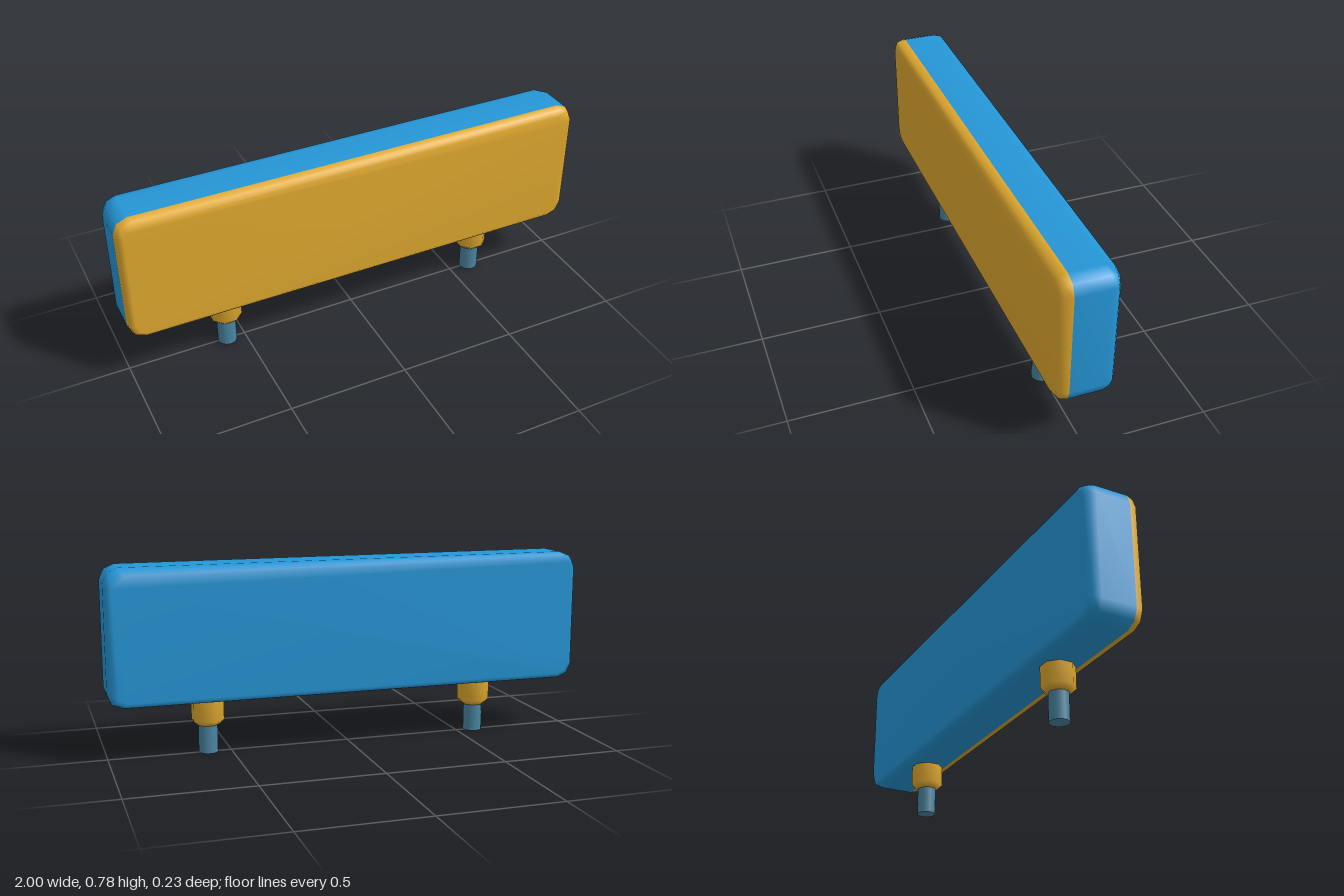
import * as THREE from 'three';

const gold = new THREE.MeshStandardMaterial({ color: 0xe0a92f });
gold.name = 'gold';
const blue = new THREE.MeshStandardMaterial({ color: 0x2596d6 });
blue.name = 'blue';
const steel = new THREE.MeshStandardMaterial({ color: 0x4a85a0 });
steel.name = 'steel blue';

// Rounded rectangle ring: three points per corner, counter-clockwise from the front
function ring(z, inset) {
  const r = 0.062 - inset * 0.5, w = 1 - inset, h = 0.277 - inset;
  const pts = [];
  for (let c = 0; c < 4; c++) {
    const sx = c === 0 || c === 3 ? 1 : -1, sy = c < 2 ? 1 : -1;
    for (let k = 0; k < 3; k++) {
      const a = (c + k / 2) * Math.PI / 2;
      pts.push(sx * (w - r) + r * Math.cos(a), 0.499 + sy * (h - r) + r * Math.sin(a), z);
    }
  }
  return pts;
}

// Smooth panel lofted from back to front, gold from the seam forwards
function panelGeometry() {
  const rings = [[-0.114, 0.028], [-0.1, 0.008], [-0.07, 0], [0.07, 0], [0.1, 0.008], [0.114, 0.028]];
  const n = 12, pos = rings.flatMap(([z, inset]) => ring(z, inset));
  const caps = [[], []], sides = [];
  for (let k = 1; k < n - 1; k++) {
    const f = (rings.length - 1) * n;
    caps[0].push(0, k + 1, k);
    caps[1].push(f, f + k, f + k + 1);
  }
  for (let i = 0; i < rings.length - 1; i++) {
    for (let k = 0; k < n; k++) {
      const a = i * n + k, b = i * n + (k + 1) % n;
      sides.push(a, b, b + n, a, b + n, a + n);
    }
  }
  const geo = new THREE.BufferGeometry();
  geo.setAttribute('position', new THREE.Float32BufferAttribute(pos, 3));
  const index = [...caps[0], ...sides, ...caps[1]];
  geo.setIndex(index);
  geo.computeVertexNormals();
  const seam = caps[0].length + 3 * n * 6;
  geo.addGroup(0, seam, 0);
  geo.addGroup(seam, index.length - seam, 1);
  return geo;
}

export function createModel() {
  const model = new THREE.Group();
  model.name = 'signPanelOnPosts';

  const panel = new THREE.Mesh(panelGeometry(), [blue, gold]);
  panel.name = 'panel';
  model.add(panel);

  // Collar profile: closed bottom, chamfer, straight wall up into the panel
  const profile = [[0, 0.116], [0.046, 0.116], [0.068, 0.137], [0.068, 0.25]]
    .map(([r, y]) => new THREE.Vector2(r, y));
  const collarGeo = new THREE.LatheGeometry(profile, 8, Math.PI / 8);
  const pinGeo = new THREE.CylinderGeometry(0.04, 0.04, 0.14, 16);

  for (const [side, x] of [['left', 0.594], ['right', -0.577]]) {
    const post = new THREE.Group();
    post.name = side + 'Post';
    post.position.set(x, 0, 0.002);
    const collar = new THREE.Mesh(collarGeo, gold);
    collar.name = side + 'Collar';
    const pin = new THREE.Mesh(pinGeo, steel);
    pin.name = side + 'Pin';
    pin.position.y = 0.07;
    post.add(collar, pin);
    model.add(post);
  }
  return model;
}
